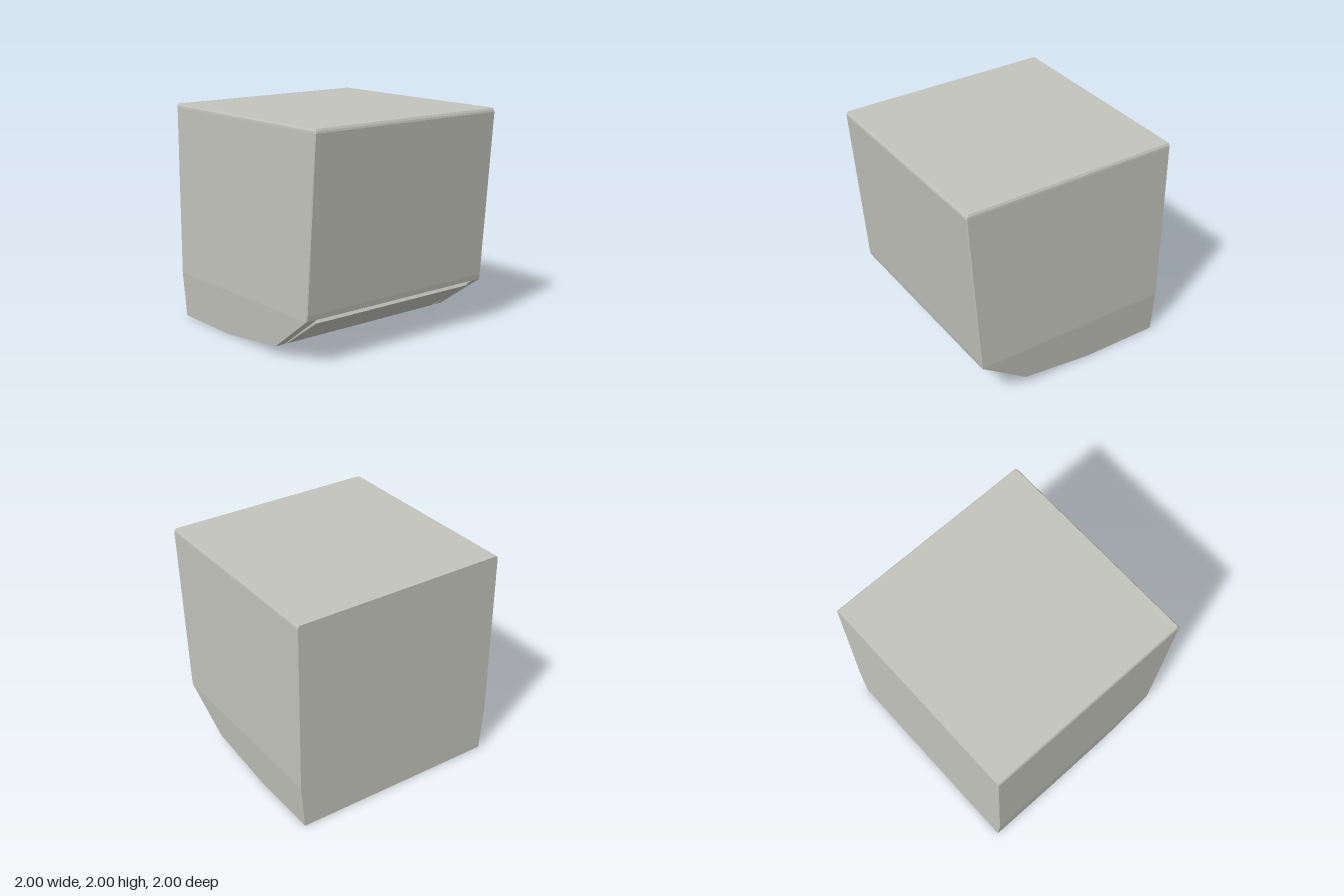
import * as THREE from 'three';

// Lofts rectangular cross-sections upward; each level is [y, x0, x1, zBack, zFront],
// with the two front corners optionally chamfered.
function loft(levels, chamfer = 0) {
  const loops = levels.map(([y, x0, x1, zb, zf]) => {
    const c = chamfer;
    const pts = c
      ? [[x0, zb], [x0, zf - c], [x0 + c, zf], [x1 - c, zf], [x1, zf - c], [x1, zb]]
      : [[x0, zb], [x0, zf], [x1, zf], [x1, zb]];
    return pts.map(([x, z]) => [x, y, z]);
  });
  const pos = [];
  const tri = (a, b, c) => pos.push(...a, ...b, ...c);
  const n = loops[0].length;
  for (let k = 0; k < loops.length - 1; k++) {
    const lo = loops[k], hi = loops[k + 1];
    for (let i = 0; i < n; i++) {
      const j = (i + 1) % n;
      tri(lo[i], lo[j], hi[j]);
      tri(lo[i], hi[j], hi[i]);
    }
  }
  const bottom = loops[0], top = loops[loops.length - 1];
  for (let i = 1; i < n - 1; i++) {
    tri(bottom[0], bottom[i + 1], bottom[i]);
    tri(top[0], top[i], top[i + 1]);
  }
  const geo = new THREE.BufferGeometry();
  geo.setAttribute('position', new THREE.Float32BufferAttribute(pos, 3));
  geo.computeVertexNormals();
  return geo;
}

export function createModel() {
  const group = new THREE.Group();
  const shell = new THREE.MeshStandardMaterial({ color: 0xc2c3bb });
  shell.name = 'warm light grey';

  const add = (name, geo) => {
    const mesh = new THREE.Mesh(geo, shell);
    mesh.name = name;
    group.add(mesh);
  };

  // Everything below this height narrows slightly towards the base
  const waist = 0.42;
  const taper = (top, base, y) => base + (top - base) * Math.min(y / waist, 1);

  // Upper housing with a leaning front and small bevels
  add('upperHousing', loft([
    [waist, -1, 1, -1, 0.875],
    [0.47, -1, 1, -1, 0.883],
    [1.965, -1, 1, -1, 1],
    [1.982, -0.998, 0.998, -1, 0.996],
    [2, -0.988, 0.988, -1, 0.985],
  ], 0.008));

  // Side cheeks with the sloping underside
  const underside = [[0, -0.28], [0.083, 0.41], [waist, 0.875]];
  for (const side of [-1, 1]) {
    add(side > 0 ? 'leftCheek' : 'rightCheek', loft(underside.map(([y, zf]) => {
      const inner = side * taper(0.897, 0.873, y);
      const outer = side * taper(1, 0.965, y);
      return [y, Math.min(inner, outer), Math.max(inner, outer), -1, zf];
    })));
  }

  // Recessed core between the cheeks, flush with the base behind the panel
  const recess = [[0, -0.28], [0.05, -0.28], [0.135, 0.38], [waist, 0.77]];
  add('recessedCore', loft(recess.map(([y, zf]) => {
    const w = taper(0.897, 0.873, y);
    return [y, -w, w, -1, zf];
  })));

  // Access panel standing in the recess, with a gap all round
  const panel = [[0, -0.2], [0.08, 0.405], [0.375, 0.842], [0.41, 0.818]];
  add('undersidePanel', loft(panel.map(([y, zf]) => {
    const w = taper(0.877, 0.846, y);
    return [y, -w, w, -0.2, zf];
  })));

  return group;
}
